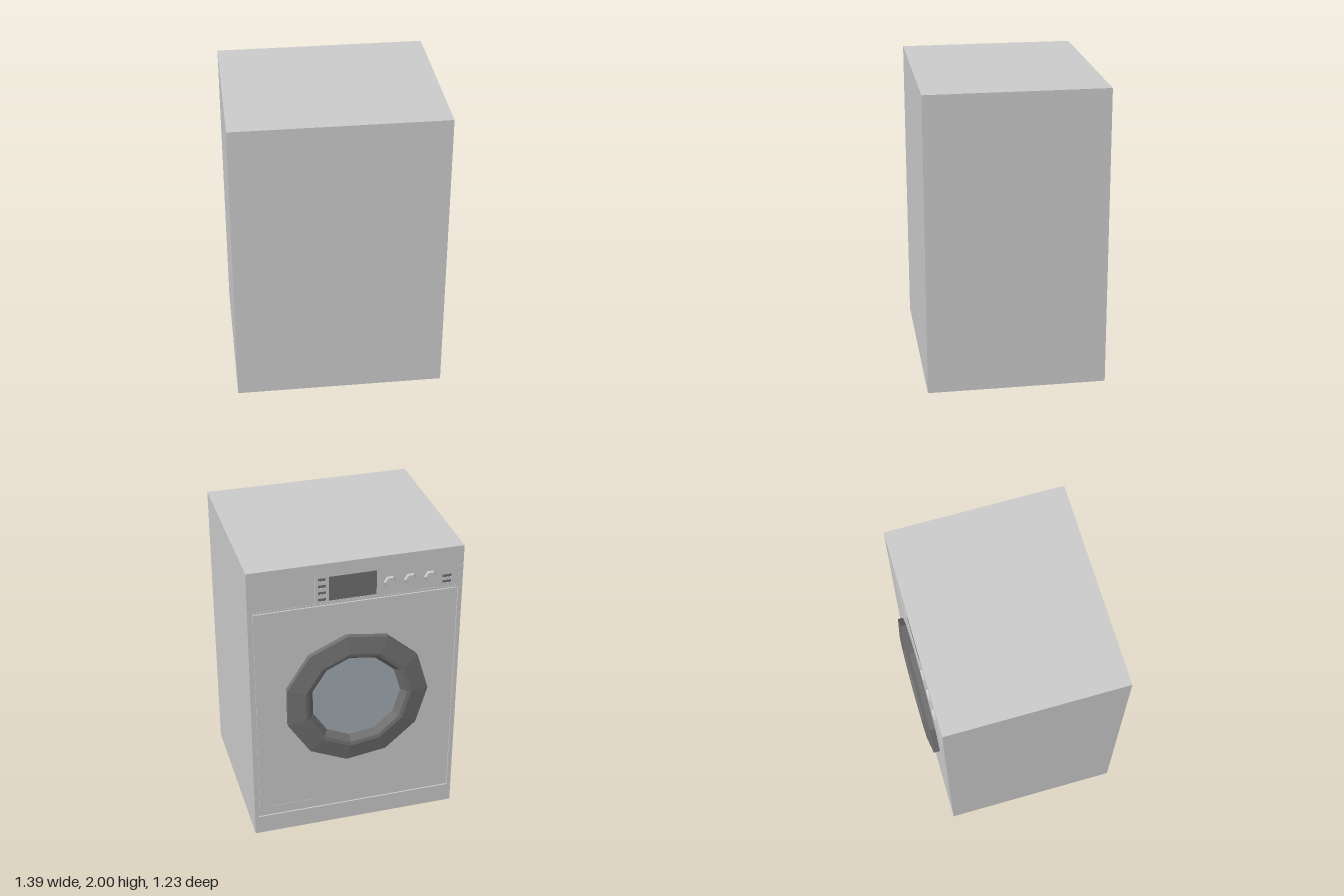
import * as THREE from 'three';

const FACE = -0.565; // plane of the cabinet's door side, facing -z
const material = (color) => new THREE.MeshStandardMaterial({ color, flatShading: true });
const grey = material(0xcccccc);
const dark = material(0x707070);
const glassBlue = material(0xa2adb5);

// Traces a rectangle [x0, y0, x1, y1] into a shape or path
function rect(path, [x0, y0, x1, y1]) {
  path.moveTo(x0, y0);
  path.lineTo(x1, y0);
  path.lineTo(x1, y1);
  path.lineTo(x0, y1);
  path.closePath();
  return path;
}

const shrink = ([x0, y0, x1, y1], d) => [x0 + d, y0 + d, x1 - d, y1 - d];

export function createModel() {
  const model = new THREE.Group();

  function add(name, geometry, mat, x = 0, y = 0, z = 0) {
    const mesh = new THREE.Mesh(geometry, mat);
    mesh.name = name;
    mesh.position.set(x, y, z);
    model.add(mesh);
    return mesh;
  }

  // Plate with rectangular openings, its outer face at z = front, its back at z = back
  function plate(name, outline, holes, mat, front, back) {
    const shape = rect(new THREE.Shape(), outline);
    shape.holes = holes.map((h) => rect(new THREE.Path(), h));
    const geometry = new THREE.ExtrudeGeometry(shape, { depth: back - front, bevelEnabled: false });
    return add(name, geometry, mat, 0, 0, front);
  }

  // Cabinet and the frame around its openings
  const back = -0.555;
  add('cabinet', new THREE.BoxGeometry(1.39, 2, 1.17), grey, 0, 1, 0.03);
  const drawer = [0.273, 1.725, 0.667, 1.92];
  const controls = [-0.667, 1.725, 0.27, 1.92];
  const panel = [-0.667, 0.135, 0.667, 1.715];
  plate('frontFrame', [-0.695, 0, 0.695, 2],
    [[-0.667, 1.725, 0.667, 1.92], panel], grey, FACE, back);

  // Detergent drawer, lower panel and filter flap
  plate('detergentDrawer', drawer, [], grey, FACE + 0.002, back);
  const flap = [0.27, 0.21, 0.6, 0.445];
  plate('frontPanel', shrink(panel, 0.008), [flap], grey, FACE, back);
  plate('filterFlap', flap, [], grey, FACE + 0.002, back);

  // Control panel with display and button slots
  const display = [-0.13, 1.737, 0.178, 1.905];
  const slots = [];
  for (const y of [1.75, 1.797, 1.843, 1.89]) slots.push([0.197, y - 0.01, 0.248, y + 0.01]);
  for (const y of [1.76, 1.8]) slots.push([-0.62, y - 0.01, -0.56, y + 0.01]);
  plate('controlPanel', controls, [display, ...slots], grey, FACE + 0.002, back);
  plate('display', display, [], dark, FACE + 0.004, back);
  for (const slot of slots) plate('button', slot, [], dark, FACE + 0.005, back);

  // Three six-sided knobs
  const knob = new THREE.CylinderGeometry(0.034, 0.043, 0.014, 6, 1, false, Math.PI / 2);
  knob.rotateX(-Math.PI / 2);
  for (const x of [-0.215, -0.347, -0.48]) add('knob', knob, grey, x, 1.814, FACE - 0.004);

  // Eleven-sided door ring, bevelled outside and sloping in to the glass
  const profile = [[0.48, 0], [0.48, 0.035], [0.36, 0.055], [0.335, 0.05], [0.3, 0.004]]
    .map(([r, h]) => new THREE.Vector2(r, h));
  const ring = new THREE.LatheGeometry(profile, 11, -Math.PI / 2);
  ring.rotateX(-Math.PI / 2);
  add('doorRing', ring, dark, 0, 1.003, FACE);

  // Door glass
  const glass = new THREE.CircleGeometry(0.302, 11);
  glass.rotateY(Math.PI);
  add('doorGlass', glass, glassBlue, 0, 1.003, FACE - 0.005);

  return model;
}
